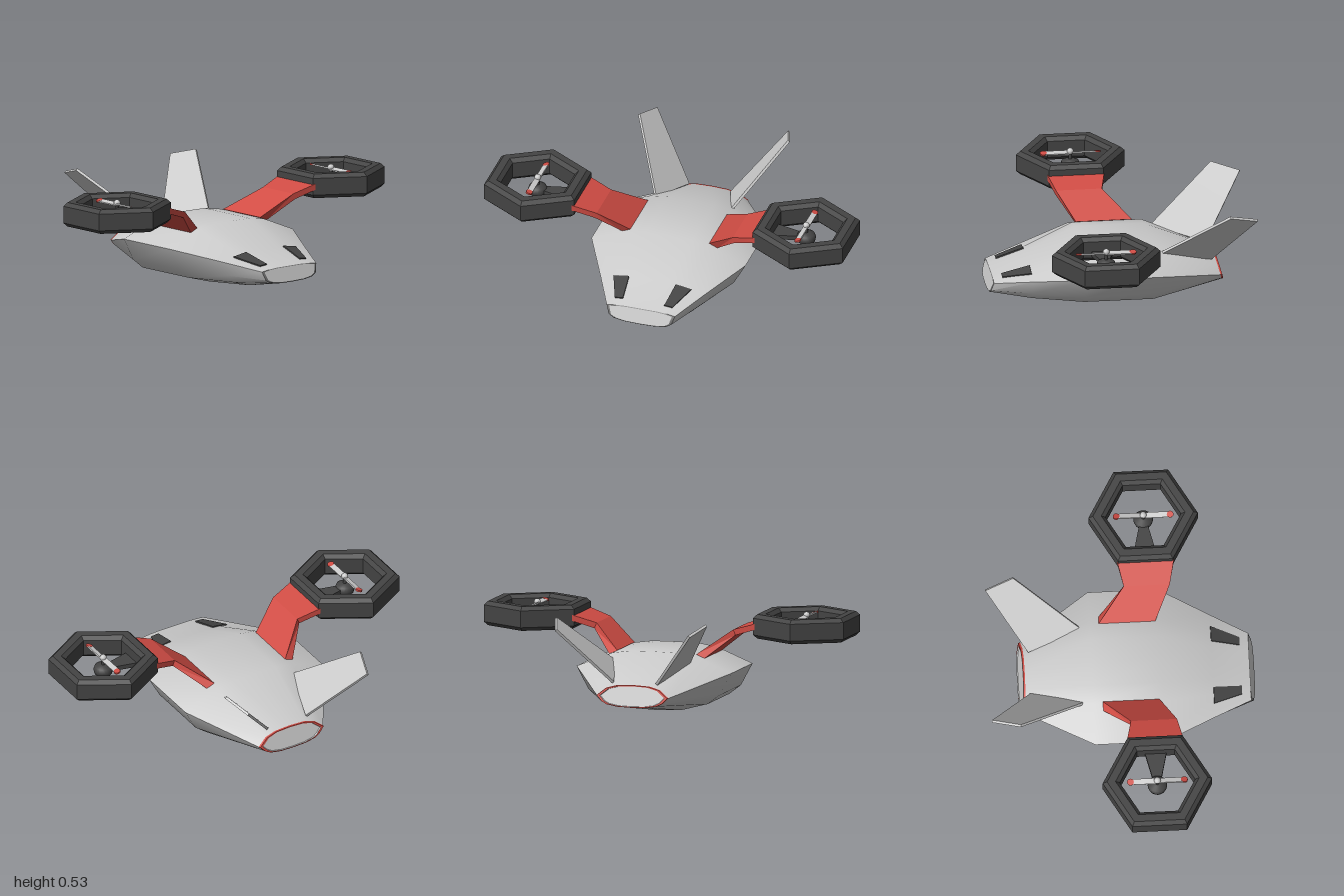
import * as THREE from 'three';
import { toCreasedNormals } from 'three/addons/utils/BufferGeometryUtils.js';

const mat = (color) => new THREE.MeshStandardMaterial({ color });
const GREY = mat(0xcccccc);
const DARK = mat(0x444444);
const MID = mat(0x707070);
const RED = mat(0xd04c44);

function add(parent, name, geometry, material) {
  const mesh = new THREE.Mesh(geometry, material);
  mesh.name = name;
  parent.add(mesh);
  return mesh;
}

// Skin closed loops of [x, y, z]; each loop runs clockwise seen from the first end.
function loft(loops, { capStart = false, capEnd = false, crease = 0.7 } = {}) {
  const n = loops[0].length;
  const pos = loops.flat(2);
  const index = [];
  for (let i = 0; i < loops.length - 1; i++) {
    for (let j = 0; j < n; j++) {
      const a = i * n + j, b = i * n + (j + 1) % n;
      index.push(a, b, a + n, b, b + n, a + n);
    }
  }
  const cap = (row, flip) => {
    const c = pos.length / 3;
    pos.push(...[0, 1, 2].map((k) => loops[row].reduce((s, p) => s + p[k], 0) / n));
    for (let j = 0; j < n; j++) {
      const a = row * n + j, b = row * n + (j + 1) % n;
      index.push(c, flip ? b : a, flip ? a : b);
    }
  };
  if (capStart) cap(0, true);
  if (capEnd) cap(loops.length - 1, false);
  const g = new THREE.BufferGeometry();
  g.setAttribute('position', new THREE.Float32BufferAttribute(pos, 3));
  g.setIndex(index);
  return toCreasedNormals(g, crease);
}

// Thin flat plate through four corners.
function plate(corners, thickness) {
  const [a, b, , d] = corners.map((p) => new THREE.Vector3(...p));
  const n = b.sub(a).cross(d.sub(a)).normalize().multiplyScalar(thickness / 2);
  const shifted = (s) => corners.map(([x, y, z]) => [x + s * n.x, y + s * n.y, z + s * n.z]);
  return loft([shifted(-1), shifted(1)], { capStart: true, capEnd: true, crease: 0.3 });
}

// Full hull loop from its half profile (top centre to bottom centre), z = z0 + tilt * y.
function section(z0, tilt, half) {
  const mirrored = half.slice(1, -1).reverse().map(([x, y]) => [-x, y]);
  return [...half, ...mirrored].map(([x, y]) => [x, y, z0 + tilt * y]);
}

// Shrink a loop about a height and shift it along z.
const inset = (loop, s, yc, dz) => loop.map(([x, y, z]) => [x * s, yc + (y - yc) * s, z + dz]);

function buildBody(parent) {
  const main = [[0, .312], [.13, .31], [.23, .295], [.43, .215], [.365, .095], [.3, .045], [.15, .005], [0, 0]];
  const nose = section(.718, -.3,
    [[0, .14], [.09, .14], [.14, .137], [.19, .13], [.175, .085], [.145, .068], [.09, .06], [0, .058]]);
  const shoulder = section(.48, 0,
    [[0, .2], [.09, .2], [.17, .192], [.29, .167], [.26, .09], [.22, .05], [.11, .02], [0, .018]]);
  const tail = section(-.563, .27,
    [[0, .185], [.09, .181], [.15, .165], [.2, .125], [.17, .095], [.14, .08], [.08, .07], [0, .068]]);
  add(parent, 'hull', loft([nose, shoulder, section(.21, 0, main), section(-.16, 0, main), tail]), GREY);

  // Nose panel with its dark rim
  const panel = inset(nose, .92, .1, .003);
  add(parent, 'noseRim', loft([panel, nose]), MID);
  add(parent, 'nosePanel', loft([panel, inset(panel, .98, .1, -.003)], { capStart: true }), GREY);

  // Tail panel with its red trim
  const trim = inset(tail, .98, .125, -.01);
  const rear = inset(tail, .9, .125, -.01);
  add(parent, 'tailTrim', loft([tail, trim, rear]), RED);
  add(parent, 'tailPanel', loft([rear, inset(rear, .98, .125, .006)], { capEnd: true }), GREY);
}

function buildRotor(parent) {
  const rotor = new THREE.Group();
  rotor.name = 'rotor';
  rotor.position.set(.749, 0, .152);
  parent.add(rotor);

  // Hexagonal bevelled duct
  const profile = [[.29, .4], [.29, .49], [.267, .51], [.222, .51], [.2, .49], [.2, .4], [.222, .38], [.267, .38], [.29, .4]]
    .map(([r, y]) => new THREE.Vector2(r, y));
  add(rotor, 'duct', toCreasedNormals(new THREE.LatheGeometry(profile, 6), .3), DARK);

  // Motor hub and the strut that carries it
  const hub = [[0, .385], [.03, .39], [.048, .405], [.052, .425], [.045, .445], [.02, .455], [0, .457]]
    .map(([r, y]) => new THREE.Vector2(r, y));
  add(rotor, 'hub', new THREE.LatheGeometry(hub, 20), DARK);
  const strutEnd = (x, w) => [[x, .435, w], [x, .435, -w], [x, .41, -w], [x, .41, w]];
  add(rotor, 'strut', loft([strutEnd(-.02, .02), strutEnd(-.19, .06)], { capStart: true, capEnd: true }), DARK);

  // Shaft and two-bladed propeller with red tips
  const shaft = add(rotor, 'shaft', new THREE.CylinderGeometry(.01, .01, .06, 12), DARK);
  shaft.position.y = .475;
  const spinner = add(rotor, 'spinner', new THREE.SphereGeometry(.018, 16, 10), GREY);
  spinner.position.y = .497;
  for (const s of [1, -1]) {
    const blade = add(rotor, 'blade', new THREE.BoxGeometry(.03, .008, .13), GREY);
    blade.position.set(0, .49, s * .07);
    blade.rotation.z = s * .3;
    const tip = add(rotor, 'bladeTip', new THREE.CylinderGeometry(.018, .018, .009, 16), RED);
    tip.position.set(0, .49, s * .143);
    tip.rotation.z = s * .3;
  }
}

function buildSide(name, sign) {
  const side = new THREE.Group();
  side.name = name;
  side.scale.x = sign;

  // Cranked arm: top x, y; bottom x, y; front z, back z
  const arm = [
    [.515, .462, .515, .43, .305, .0],
    [.38, .42, .392, .39, .275, .03],
    [.22, .3, .265, .28, .19, -.11],
  ].map(([xt, yt, xb, yb, zf, zb]) => [[xt, yt, zf], [xt, yt, zb], [xb, yb, zb], [xb, yb, zf]]);
  add(side, 'arm', loft(arm, { capStart: true, capEnd: true, crease: .3 }), RED);

  add(side, 'tailFin', plate(
    [[.21, .265, -.205], [.418, .53, -.555], [.37, .49, -.705], [.12, .19, -.49]], .014), GREY);
  add(side, 'window', plate(
    [[.115, .153, .63], [.16, .149, .63], [.217, .183, .48], [.13, .197, .48]], .012), DARK);
  buildRotor(side);
  return side;
}

export function createModel() {
  const model = new THREE.Group();
  model.name = 'aircraft';
  buildBody(model);
  model.add(buildSide('leftSide', 1), buildSide('rightSide', -1));
  return model;
}
